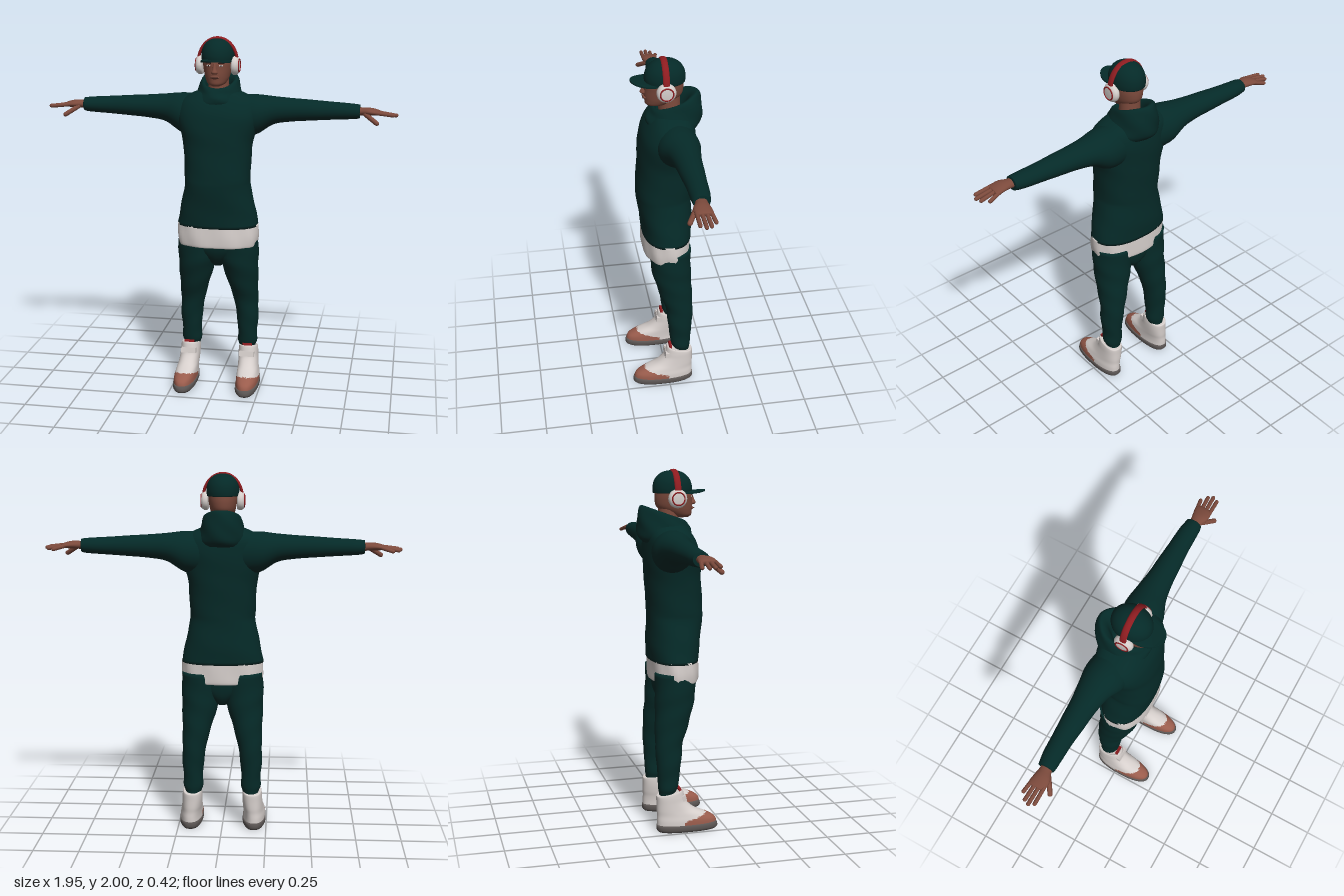
import * as THREE from 'three';

const mat = (name, color) => {
  const m = new THREE.MeshStandardMaterial({ color });
  m.name = name;
  return m;
};

// Catmull-Rom resampling of section rows
function smoothRows(rows, steps) {
  const out = [], n = rows.length;
  const at = (i, k) => rows[Math.min(n - 1, Math.max(0, i))][k] ?? 0;
  for (let i = 0; i < n - 1; i++) {
    for (let s = 0; s < steps; s++) {
      const t = s / steps;
      out.push([0, 1, 2, 3, 4, 5].map(k => {
        const a = at(i - 1, k), b = at(i, k), c = at(i + 1, k), d = at(i + 2, k);
        return b + 0.5 * t * (c - a + t * (2 * a - 5 * b + 4 * c - d + t * (3 * (b - c) + d - a)));
      }));
    }
  }
  out.push([0, 1, 2, 3, 4, 5].map(k => at(n - 1, k)));
  return out;
}

// Closed skin over rows of [position, centreA, centreB, radiusA, radiusB, tilt].
// axis y: A=x B=z; axis x: A=z B=y. pick() sorts faces into two material groups.
function loft(rows, { axis = 'y', seg = 28, power = 2, steps = 4, pick, warp } = {}) {
  const R = smoothRows(rows, steps), pos = [], buckets = [[], []];
  const put = (p, a, b) => pos.push(...(axis === 'y' ? [a, p, b] : [p, b, a]));
  const sup = v => Math.sign(v) * Math.abs(v) ** (2 / power);
  for (const [p, ca, cb, ra, rb, tilt] of R) {
    for (let j = 0; j < seg; j++) {
      const t = (j / seg) * Math.PI * 2, w = warp ? warp(t, p) : 1;
      put(p - tilt * Math.cos(t), ca + ra * w * sup(Math.sin(t)), cb + rb * w * sup(Math.cos(t)));
    }
  }
  const tri = (a, b, c) => {
    const mid = k => (pos[a * 3 + k] + pos[b * 3 + k] + pos[c * 3 + k]) / 3;
    buckets[pick && pick(mid(0), mid(1), mid(2)) ? 1 : 0].push(a, b, c);
  };
  const last = R.length - 1, bottom = R.length * seg, top = bottom + 1;
  put(R[0][0], R[0][1], R[0][2]);
  put(R[last][0], R[last][1], R[last][2]);
  for (let j = 0; j < seg; j++) {
    const k = (j + 1) % seg;
    for (let i = 0; i < last; i++) {
      const a = i * seg + j, b = i * seg + k;
      tri(a, b, b + seg);
      tri(a, b + seg, a + seg);
    }
    tri(bottom, k, j);
    tri(top, last * seg + j, last * seg + k);
  }
  const g = new THREE.BufferGeometry();
  g.setAttribute('position', new THREE.Float32BufferAttribute(pos, 3));
  g.setIndex([...buckets[0], ...buckets[1]]);
  if (pick) {
    g.addGroup(0, buckets[0].length, 0);
    g.addGroup(buckets[0].length, buckets[1].length, 1);
  }
  g.computeVertexNormals();
  return g;
}

// Copy across the x = 0 plane with corrected winding
function mirrored(geo) {
  const g = geo.clone().scale(-1, 1, 1), ix = g.index.array;
  for (let i = 0; i < ix.length; i += 3) [ix[i], ix[i + 1]] = [ix[i + 1], ix[i]];
  g.computeVertexNormals();
  return g;
}

// Rounded finger between two points
function finger(a, b, r) {
  const A = new THREE.Vector3(...a), B = new THREE.Vector3(...b), d = B.clone().sub(A);
  const g = new THREE.CapsuleGeometry(r, d.length() - r, 4, 10);
  g.applyQuaternion(new THREE.Quaternion().setFromUnitVectors(new THREE.Vector3(0, 1, 0), d.normalize()));
  const c = A.add(B).multiplyScalar(0.5);
  return g.translate(c.x, c.y, c.z);
}

export function createModel() {
  const green = mat('dark green cloth', 0x052a28), skin = mat('skin', 0x7c4a3c);
  const white = mat('off white', 0xd6cfcc), tan = mat('shoe brown', 0x9a5c4c);
  const grey = mat('sole grey', 0x5e5856), red = mat('red', 0x8e1c20);
  const dark = mat('face dark', 0x2a1815);
  const model = new THREE.Group();
  const add = (name, geo, material) => {
    const m = new THREE.Mesh(geo, material);
    m.name = name;
    model.add(m);
    return m;
  };
  const pair = (name, geo, material) => {
    add(name + 'Left', geo, material);
    add(name + 'Right', mirrored(geo), material);
  };

  // Sweatshirt body with soft cloth folds
  add('sweatshirt', loft([
    [0.955, 0, -0.01, 0.228, 0.135], [1.05, 0, -0.008, 0.21, 0.143], [1.18, 0, 0.003, 0.183, 0.15],
    [1.24, 0, 0.003, 0.182, 0.152], [1.4, 0, -0.007, 0.19, 0.152], [1.5, 0, -0.012, 0.212, 0.152],
    [1.58, 0, -0.02, 0.23, 0.145], [1.64, 0, -0.03, 0.215, 0.128], [1.68, 0, -0.035, 0.165, 0.105],
    [1.71, 0, -0.035, 0.09, 0.08]
  ], { seg: 40, power: 2.3, warp: (t, y) => 1 + 0.008 * Math.sin(t * 3 + y * 40) }), green);

  // Sleeves
  pair('sleeve', loft([
    [0.08, -0.045, 1.565, 0.1, 0.115], [0.2, -0.05, 1.572, 0.112, 0.112], [0.3, -0.06, 1.597, 0.086, 0.077],
    [0.4, -0.062, 1.602, 0.07, 0.064], [0.5, -0.063, 1.603, 0.063, 0.057], [0.6, -0.064, 1.603, 0.055, 0.05],
    [0.7, -0.063, 1.603, 0.051, 0.044], [0.75, -0.06, 1.603, 0.046, 0.04], [0.77, -0.06, 1.604, 0.042, 0.036]
  ], { axis: 'x' }), green);

  // Hood resting behind the neck, folded over at its rim
  add('hood', loft([
    [1.61, 0, -0.055, 0.12, 0.12], [1.64, 0, -0.05, 0.135, 0.148], [1.68, 0, -0.053, 0.125, 0.152, 0.01],
    [1.72, 0, -0.06, 0.114, 0.142, 0.025], [1.757, 0, -0.06, 0.102, 0.128, 0.04],
    [1.765, 0, -0.057, 0.087, 0.11, 0.04], [1.74, 0, -0.045, 0.07, 0.088, 0.03], [1.69, 0, -0.035, 0.06, 0.07]
  ], { seg: 36, warp: (t, y) => 1 + 0.02 * Math.sin(t * 5 + y * 60) }), green);

  // Undershirt hem
  add('shirtHem', loft([
    [0.842, 0, -0.008, 0.215, 0.125], [0.85, 0, -0.008, 0.222, 0.133], [0.9, 0, -0.008, 0.228, 0.134],
    [0.965, 0, -0.01, 0.225, 0.132]
  ], { seg: 48, power: 2.3, warp: (t, y) => 1 + 0.014 * Math.sin(t * 9 + y * 20) }), white);

  // Trousers
  add('trouserSeat', loft([
    [0.715, 0, -0.03, 0.03, 0.05], [0.76, 0, -0.025, 0.09, 0.085], [0.82, 0, -0.018, 0.18, 0.105],
    [0.9, 0, -0.015, 0.21, 0.11]
  ]), green);
  pair('trouserLeg', loft([
    [0.18, 0.165, -0.08, 0.038, 0.04], [0.22, 0.162, -0.078, 0.046, 0.047], [0.25, 0.163, -0.074, 0.055, 0.056],
    [0.31, 0.163, -0.071, 0.055, 0.06], [0.4, 0.163, -0.069, 0.062, 0.07], [0.5, 0.154, -0.066, 0.069, 0.077],
    [0.6, 0.141, -0.048, 0.084, 0.093], [0.7, 0.127, -0.031, 0.1, 0.105], [0.78, 0.119, -0.022, 0.11, 0.112],
    [0.9, 0.115, -0.018, 0.112, 0.115]
  ], { warp: (t, y) => 1 + 0.02 * Math.sin(t * 2 + y * 45) }), green);

  // Shoes: grey sole, white upper with brown toe, red tongue tab
  pair('shoeSole', loft([
    [0, 0.18, 0.033, 0.056, 0.165], [0.015, 0.18, 0.033, 0.066, 0.177], [0.042, 0.18, 0.03, 0.065, 0.172]
  ], { seg: 40, power: 2.4, steps: 2 }), grey);
  pair('shoeUpper', loft([
    [0.03, 0.18, 0.032, 0.063, 0.172], [0.065, 0.18, 0.026, 0.062, 0.166], [0.095, 0.177, 0.002, 0.059, 0.141],
    [0.125, 0.174, -0.033, 0.057, 0.108], [0.165, 0.171, -0.055, 0.056, 0.086], [0.2, 0.17, -0.062, 0.055, 0.079],
    [0.222, 0.17, -0.065, 0.051, 0.072, -0.015], [0.22, 0.17, -0.067, 0.042, 0.06, -0.012]
  ], { seg: 56, power: 2.3, steps: 6, pick: (x, y, z) => z > 0 && y < 0.058 + 0.28 * z }), [white, tan]);
  pair('shoeTongue', new THREE.BoxGeometry(0.055, 0.045, 0.014)
    .rotateX(-0.25).translate(0.17, 0.225, -0.008), red);
  pair('shoeStrap', new THREE.BoxGeometry(0.085, 0.03, 0.03)
    .rotateX(-0.2).translate(0.17, 0.19, 0.006), white);

  // Hands
  pair('palm', loft([
    [0.74, -0.058, 1.603, 0.03, 0.024], [0.78, -0.055, 1.605, 0.032, 0.022], [0.82, -0.05, 1.606, 0.043, 0.021],
    [0.86, -0.053, 1.603, 0.046, 0.016], [0.878, -0.055, 1.602, 0.038, 0.009]
  ], { axis: 'x', seg: 20 }), skin);
  [[-0.017, -0.018, 0.955], [-0.041, -0.046, 0.97], [-0.064, -0.072, 0.958], [-0.086, -0.1, 0.925]]
    .forEach(([z0, z1, x1], i) =>
      pair('finger' + (i + 1), finger([0.85, 1.604, z0], [x1, 1.592 - i * 0.003, z1], 0.0105), skin));
  pair('thumb', finger([0.795, 1.597, -0.03], [0.868, 1.55, 0.018], 0.013), skin);

  // Neck, head and face
  add('neck', new THREE.CylinderGeometry(0.055, 0.06, 0.14, 24).translate(0, 1.73, -0.03), skin);
  add('head', loft([
    [1.738, 0, 0.05, 0.02, 0.03], [1.75, 0, 0.036, 0.046, 0.062], [1.775, 0, 0.016, 0.062, 0.086],
    [1.8, 0, 0.004, 0.07, 0.101], [1.835, 0, 0, 0.077, 0.104], [1.87, 0, 0, 0.081, 0.103],
    [1.92, 0, -0.005, 0.078, 0.093], [1.96, 0, -0.008, 0.05, 0.06]
  ], { seg: 32 }), skin);
  add('nose', loft([
    [1.807, 0, 0.1, 0.013, 0.016], [1.817, 0, 0.104, 0.018, 0.022], [1.835, 0, 0.102, 0.011, 0.016],
    [1.865, 0, 0.096, 0.008, 0.01]
  ], { seg: 14 }), skin);
  add('lips', new THREE.SphereGeometry(1, 16, 10).scale(0.026, 0.009, 0.012).translate(0, 1.789, 0.1), skin);
  add('mouthLine', new THREE.BoxGeometry(0.042, 0.003, 0.004).translate(0, 1.789, 0.111), dark);
  const eyeWhite = new THREE.SphereGeometry(1, 12, 8).scale(0.013, 0.005, 0.004).rotateY(0.35);
  pair('eye', eyeWhite.translate(0.033, 1.852, 0.094), white);
  pair('pupil', new THREE.SphereGeometry(0.005, 10, 8).translate(0.033, 1.852, 0.0945), dark);
  pair('eyebrow', new THREE.BoxGeometry(0.034, 0.006, 0.006).rotateY(0.35).translate(0.035, 1.866, 0.094), dark);

  // Cap and curved brim
  add('cap', loft([
    [1.872, 0, -0.006, 0.088, 0.107], [1.9, 0, -0.006, 0.09, 0.109], [1.935, 0, -0.007, 0.084, 0.101],
    [1.965, 0, -0.008, 0.067, 0.08], [1.985, 0, -0.008, 0.04, 0.048], [1.992, 0, -0.008, 0.01, 0.012]
  ], { seg: 36 }), green);
  const outline = new THREE.Shape();
  outline.absellipse(0, 0.06, 0.082, 0.116, 0, Math.PI * 2);
  const brim = new THREE.ExtrudeGeometry(outline, { depth: 0.008, bevelEnabled: false, curveSegments: 40 });
  brim.rotateX(Math.PI / 2).translate(0, 1.888, 0);
  const p = brim.attributes.position;
  for (let i = 0; i < p.count; i++) p.setY(i, p.getY(i) - 1.8 * p.getX(i) ** 2);
  brim.computeVertexNormals();
  add('capBrim', brim, green);

  // Headphones
  add('headband', new THREE.TorusGeometry(0.106, 0.008, 10, 40, Math.PI)
    .scale(1, 1.18, 2.3).translate(0, 1.865, 0), red);
  const cup = [[0, 0], [0.045, 0], [0.051, 0.008], [0.051, 0.024], [0.043, 0.036], [0.03, 0.04], [0, 0.04]]
    .map(([r, h]) => new THREE.Vector2(r, h));
  pair('earCup', new THREE.LatheGeometry(cup, 28).rotateZ(-Math.PI / 2).translate(0.078, 1.845, 0), white);
  pair('earCupRing', new THREE.TorusGeometry(0.034, 0.004, 8, 28)
    .rotateY(Math.PI / 2).translate(0.117, 1.845, 0), red);
  return model;
}
